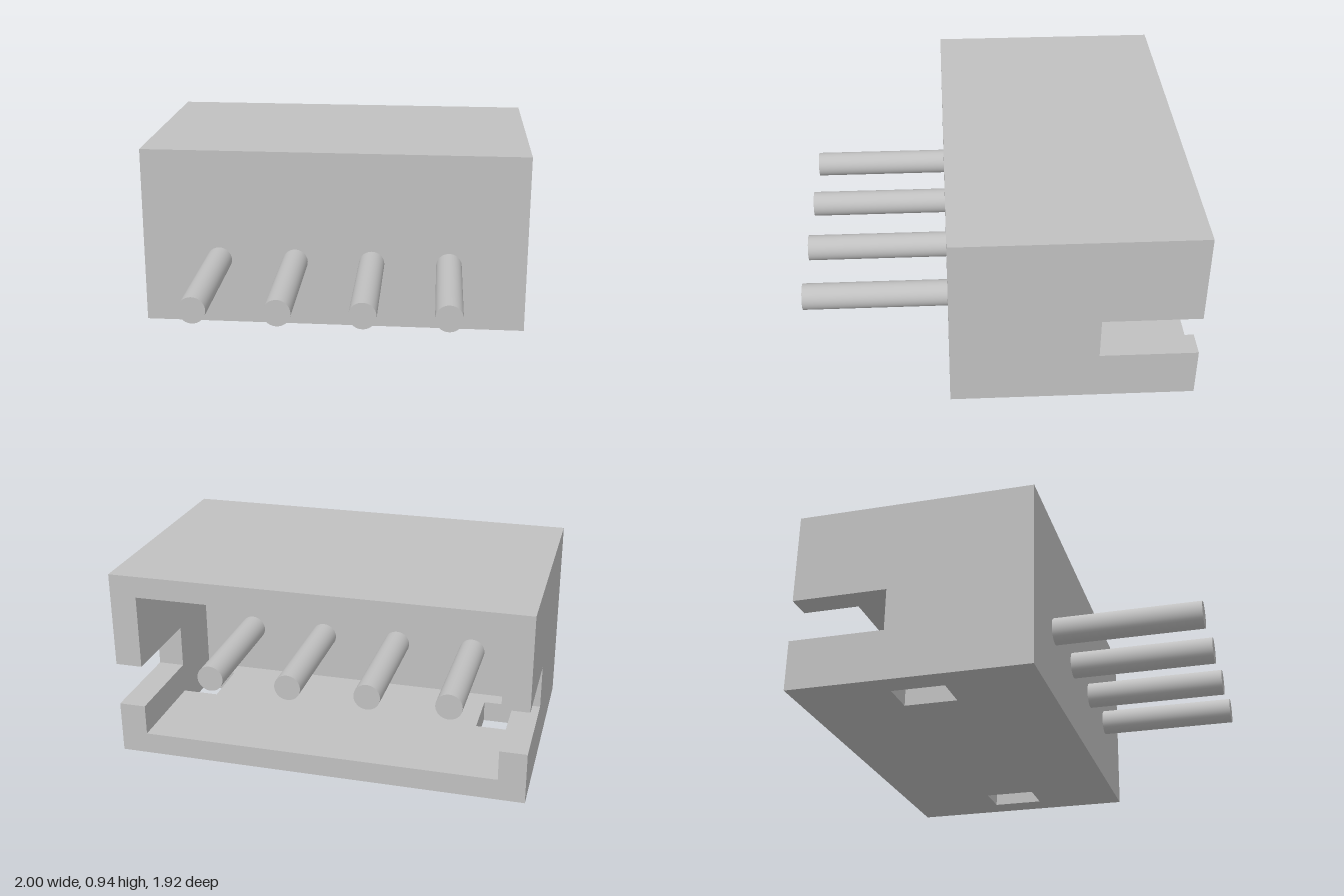
import * as THREE from 'three';
import { mergeGeometries } from 'three/addons/utils/BufferGeometryUtils.js';

// Housing: outer box, inner cavity (open to the back), side slots, floor holes
const W = 1, H = 0.935, BACK = -0.96, FRONT = 0.24;
const IX = 0.87, IY0 = 0.105, IY1 = 0.83, IZ = -0.13;
const S0 = 0.255, S1 = 0.47, SZ = -0.48;
const HX = 0.69, HZ = -0.216;

const rect = (u0, u1, v0, v1) => [[u0, v0], [u1, v0], [u1, v1], [u0, v1]];
const toPoints = (list) => list.map(([u, v]) => new THREE.Vector2(u, v));

// Flat face across one axis, facing sign. Outline axes: x -> (y,z), y -> (z,x), z -> (x,y)
function face(axis, at, sign, outline, holes = []) {
  const shape = new THREE.Shape(toPoints(outline));
  holes.forEach((h) => shape.holes.push(new THREE.Path(toPoints(h))));
  const g = new THREE.ShapeGeometry(shape);
  const unit = [0, 1, 2].map((i) => new THREE.Vector3().setComponent(i, 1));
  const n = 'xyz'.indexOf(axis);
  g.translate(0, 0, at);
  g.applyMatrix4(new THREE.Matrix4().makeBasis(unit[(n + 1) % 3], unit[(n + 2) % 3], unit[n]));
  if (sign < 0) {
    g.index.array.reverse();
    const normals = g.attributes.normal.array;
    for (let i = 0; i < normals.length; i++) normals[i] *= -1;
  }
  return g;
}

// Side wall outline in (y,z) with the slot cut in from the back
const slotted = (y0, y1, z1) => [
  [y0, BACK], [S0, BACK], [S0, SZ], [S1, SZ], [S1, BACK], [y1, BACK], [y1, z1], [y0, z1],
];

// U-shaped half of the back rim in (x,y)
const rim = (outer, inner, end) => [
  [-W, end], [-IX, end], [-IX, inner], [IX, inner], [IX, end], [W, end], [W, outer], [-W, outer],
];

function housingGeometry() {
  const holes = [rect(SZ, HZ, HX, IX), rect(SZ, HZ, -IX, -HX)];
  const faces = [
    // outside
    face('z', FRONT, 1, rect(-W, W, 0, H)),
    face('y', H, 1, rect(BACK, FRONT, -W, W)),
    face('y', 0, -1, rect(BACK, FRONT, -W, W), holes),
    face('z', BACK, -1, rim(H, IY1, S1)),
    face('z', BACK, -1, rim(0, IY0, S0)),
    // cavity
    face('z', IZ, -1, rect(-IX, IX, IY0, IY1)),
    face('y', IY1, -1, rect(BACK, IZ, -IX, IX)),
    face('y', IY0, 1, rect(BACK, IZ, -IX, IX), holes),
  ];
  for (const s of [1, -1]) {
    const [a, b] = s > 0 ? [IX, W] : [-W, -IX];
    const [c, d] = s > 0 ? [HX, IX] : [-IX, -HX];
    faces.push(
      // side walls, outer and inner
      face('x', s * W, s, slotted(0, H, FRONT)),
      face('x', s * IX, -s, slotted(IY0, IY1, IZ)),
      // slot edges
      face('y', S0, 1, rect(BACK, SZ, a, b)),
      face('y', S1, -1, rect(BACK, SZ, a, b)),
      face('z', SZ, -1, rect(a, b, S0, S1)),
      // floor hole edges
      face('x', s * IX, -s, rect(0, IY0, SZ, HZ)),
      face('x', s * HX, s, rect(0, IY0, SZ, HZ)),
      face('z', SZ, 1, rect(c, d, 0, IY0)),
      face('z', HZ, -1, rect(c, d, 0, IY0)),
    );
  }
  return mergeGeometries(faces);
}

export function createModel() {
  const model = new THREE.Group();
  model.name = 'pinHeader';
  const grey = new THREE.MeshStandardMaterial({ color: 0xc0c0c0 });
  grey.name = 'lightGrey';

  const housing = new THREE.Mesh(housingGeometry(), grey);
  housing.name = 'housing';
  model.add(housing);

  // Round pins running through the front wall
  const pinBack = -0.77, pinFront = 0.96;
  const pinGeometry = new THREE.CylinderGeometry(0.066, 0.066, pinFront - pinBack, 40);
  pinGeometry.rotateX(Math.PI / 2);
  for (let i = 0; i < 4; i++) {
    const pin = new THREE.Mesh(pinGeometry, grey);
    pin.name = `pin${i + 1}`;
    pin.position.set(-0.6 + i * 0.4, 0.348, (pinFront + pinBack) / 2);
    model.add(pin);
  }
  return model;
}
